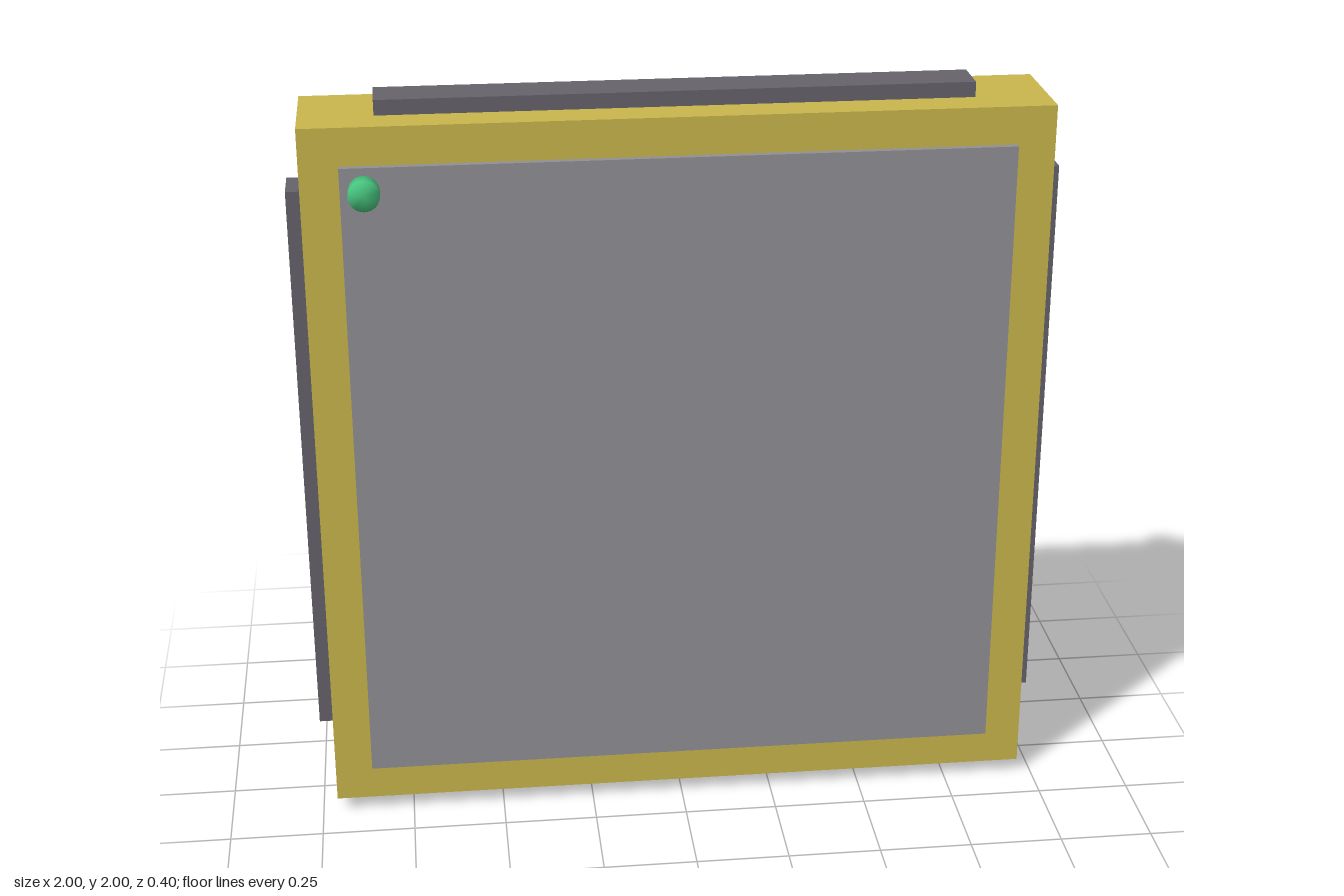
import * as THREE from 'three';
import { mergeVertices } from 'three/addons/utils/BufferGeometryUtils.js';

const mat = (name, color) => {
  const m = new THREE.MeshStandardMaterial({ color });
  m.name = name;
  return m;
};

// Cylinder whose caps share the rim vertices, so the shading is soft all over
function softCylinder(radius, length) {
  let g = new THREE.CylinderGeometry(radius, radius, length, 32);
  g.deleteAttribute('normal');
  g.deleteAttribute('uv');
  g = mergeVertices(g, 1e-5);
  g.computeVertexNormals();
  return g;
}

export function createModel() {
  const model = new THREE.Group();
  model.name = 'wallPanel';
  const yellow = mat('mustard yellow', 0xc9b64d);
  const grey = mat('screen grey', 0x918f94);
  const dark = mat('dark grey', 0x65636a);
  const green = mat('button green', 0x48c57f);

  const add = (name, geometry, material, x, y, z) => {
    const mesh = new THREE.Mesh(geometry, material);
    mesh.name = name;
    mesh.position.set(x, y, z);
    model.add(mesh);
    return mesh;
  };

  // Case and raised front screen
  add('body', new THREE.BoxGeometry(1.92, 1.92, 0.298), yellow, 0, 1, -0.011);
  add('screen', new THREE.BoxGeometry(1.72, 1.72, 0.04), grey, 0, 1, 0.136);

  // Round button in the upper corner of the screen
  add('button', softCylinder(0.04, 0.045), green, -0.8, 1.8, 0.1775).rotation.x = Math.PI / 2;

  // Edge strips and back feet, repeated around the four sides
  const strip = new THREE.BoxGeometry(1.536, 0.06, 0.12);
  const foot = softCylinder(0.0745, 0.057);
  const names = ['top', 'right', 'bottom', 'left'];
  names.forEach((side, i) => {
    const a = i * Math.PI / 2;
    const place = (u, v) => [u * Math.cos(a) - v * Math.sin(a), 1 + u * Math.sin(a) + v * Math.cos(a)];
    add(side + 'Strip', strip, dark, ...place(0, 0.97), -0.02).rotation.z = a;
    for (const u of [-0.6, 0.6]) {
      add(side + 'Foot', foot, dark, ...place(u, 0.9285), -0.1255).rotation.z = a;
    }
  });
  return model;
}
